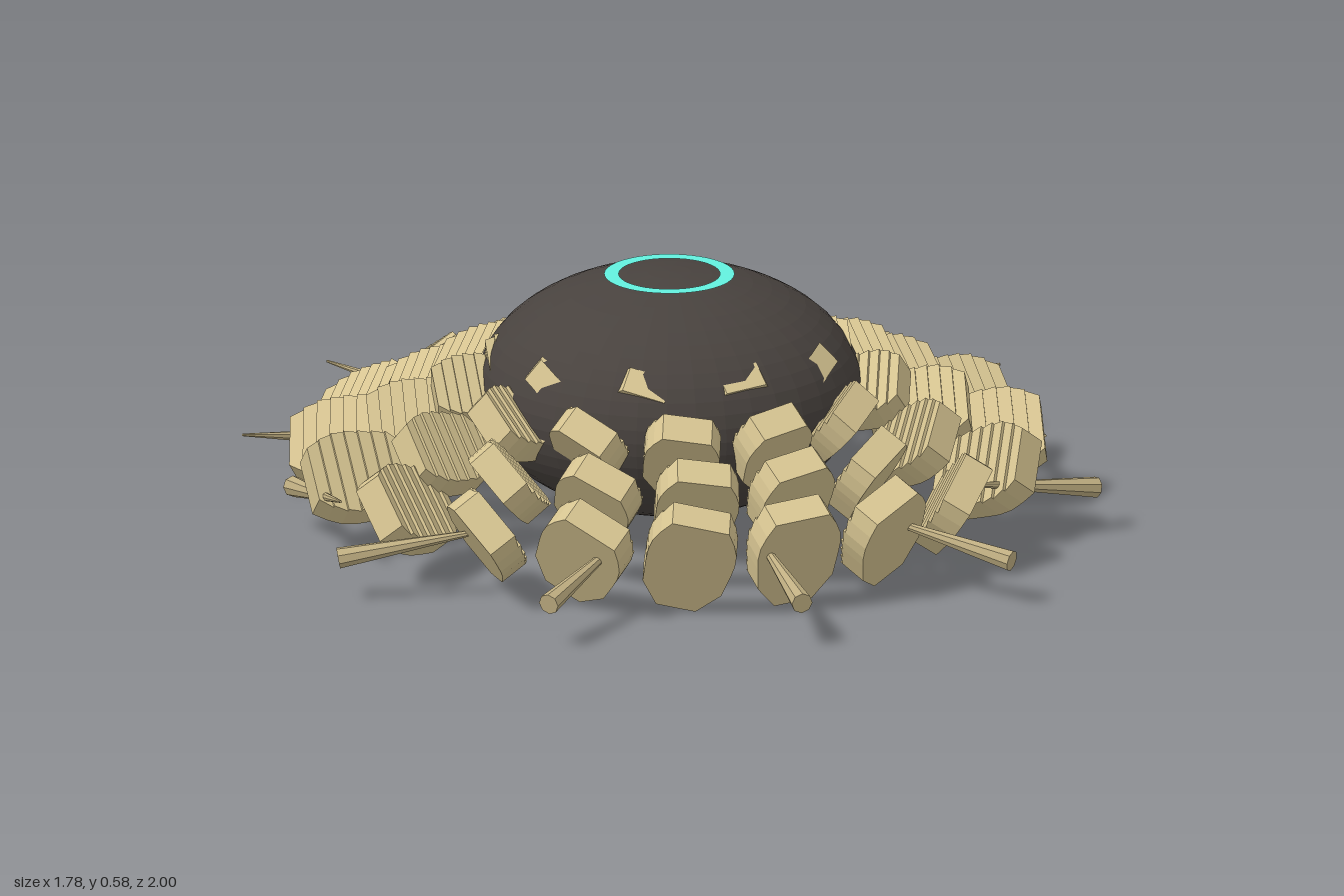
import * as THREE from 'three';
import { mergeGeometries } from 'three/addons/utils/BufferGeometryUtils.js';

const mat = (color, extra = {}) => new THREE.MeshStandardMaterial({ color, ...extra });
const shellMat = mat(0xd6c491, { flatShading: true });
const spikeMat = mat(0xc0af82, { flatShading: true });

// half-width of a plate along its length, v from -1 (narrow end) to 1
const outline = [[-1, 0.45], [-0.5, 0.9], [0.2, 1], [0.6, 0.95], [1, 0.65]];
function halfWidth(v) {
  for (let i = 1; i < outline.length; i++) {
    const [v0, w0] = outline[i - 1], [v1, w1] = outline[i];
    if (v <= v1 + 1e-6) return w0 + (w1 - w0) * (v - v0) / (v1 - v0);
  }
  return outline[outline.length - 1][1];
}

// thick plate, flat on one face and stepped in ridges on the other
function plateGeometry(width, length, thick) {
  const strips = [], n = 8, ridge = 0.008;
  for (let i = 0; i < n; i++) {
    const g = new THREE.BoxGeometry(2, 1, 1), p = g.attributes.position;
    for (let k = 0; k < p.count; k++) {
      const upper = p.getY(k) > 0;
      const v = -1 + 2 * (i + (upper ? 1 : 0)) / n;
      const front = thick / 2 - (upper ? 0 : ridge);
      p.setXYZ(k, p.getX(k) * halfWidth(v) * width / 2, v * length / 2, p.getZ(k) > 0 ? front : -thick / 2);
    }
    strips.push(g);
  }
  const merged = mergeGeometries(strips);
  merged.computeVertexNormals();
  return merged;
}

// direction that turns twice as fast as the place on the ring
function facing(a, elevation) {
  const b = 2 * a - 0.28 * Math.sin(2 * a), c = Math.cos(elevation);
  return new THREE.Vector3(-Math.sin(b) * c, Math.sin(elevation), -Math.cos(b) * c);
}

const around = (a, r, y) => new THREE.Vector3(Math.sin(a) * r, y, Math.cos(a) * r);

export function createModel() {
  const model = new THREE.Group();

  // squashed round body
  const body = new THREE.Mesh(new THREE.SphereGeometry(0.43, 40, 28), mat(0x48423e, { flatShading: true }));
  body.name = 'body';
  body.scale.y = 0.27 / 0.43;
  body.position.y = 0.31;
  model.add(body);

  // bright ring on the crown
  const ring = new THREE.Mesh(new THREE.RingGeometry(0.113, 0.145, 40), mat(0x62f0de, { side: THREE.DoubleSide }));
  ring.name = 'crownRing';
  ring.rotation.x = -Math.PI / 2;
  ring.position.y = 0.574;
  model.add(ring);

  // four rings of overlapping plates, from the crown outwards
  const rings = [
    { n: 10, start: 9, r: 0.317, y: 0.37, lift: 0.015, w: 0.15, l: 0.18, t: 0.06, tilt: 0.7 },
    { n: 13, start: 13.85, r: 0.43, y: 0.285, lift: 0.036, w: 0.17, l: 0.2, t: 0.07, tilt: 0.62 },
    { n: 16, start: 11.25, r: 0.56, y: 0.21, lift: 0.036, w: 0.185, l: 0.22, t: 0.07, tilt: 0.53 },
    { n: 19, start: 5.26, r: 0.715, y: 0.137, lift: 0.034, w: 0.2, l: 0.25, t: 0.07, tilt: 0.44 },
  ];
  rings.forEach((o, k) => {
    const group = new THREE.Group();
    group.name = 'plateRing' + (k + 1);
    const geometry = plateGeometry(o.w, o.l, o.t);
    for (let i = 0; i < o.n; i++) {
      const a = THREE.MathUtils.degToRad(o.start) + i * 2 * Math.PI / o.n;
      // plates lie flatter and sit higher towards the back
      const back = 1 - Math.cos(a);
      const N = facing(a, o.tilt + 0.24 * back + 0.1 * Math.sin(a) ** 2);
      // ridges follow the ring when seen from above
      const X = new THREE.Vector3(Math.cos(a), 0, -Math.sin(a));
      X.y = -(X.x * N.x + X.z * N.z) / N.y;
      X.normalize().negate();
      const Y = new THREE.Vector3().crossVectors(N, X);
      const plate = new THREE.Mesh(geometry, shellMat);
      plate.name = 'plate';
      plate.quaternion.setFromRotationMatrix(new THREE.Matrix4().makeBasis(X, Y, N));
      plate.position.copy(around(a, o.r, o.y + o.lift * back));
      group.add(plate);
    }
    model.add(group);
  });

  // twelve thin spikes around the rim
  const spikes = new THREE.Group();
  spikes.name = 'spikes';
  const cone = new THREE.CylinderGeometry(0.003, 0.024, 0.364, 8);
  for (let i = 0; i < 12; i++) {
    const a = i * Math.PI / 6;
    const spike = new THREE.Mesh(cone, spikeMat);
    spike.name = 'spike';
    spike.quaternion.setFromUnitVectors(new THREE.Vector3(0, 1, 0), facing(a, 0.16 + 0.04 * Math.sin(a) ** 2));
    spike.position.copy(around(a, 0.82, 0.137));
    spikes.add(spike);
  }
  model.add(spikes);

  return model;
}
